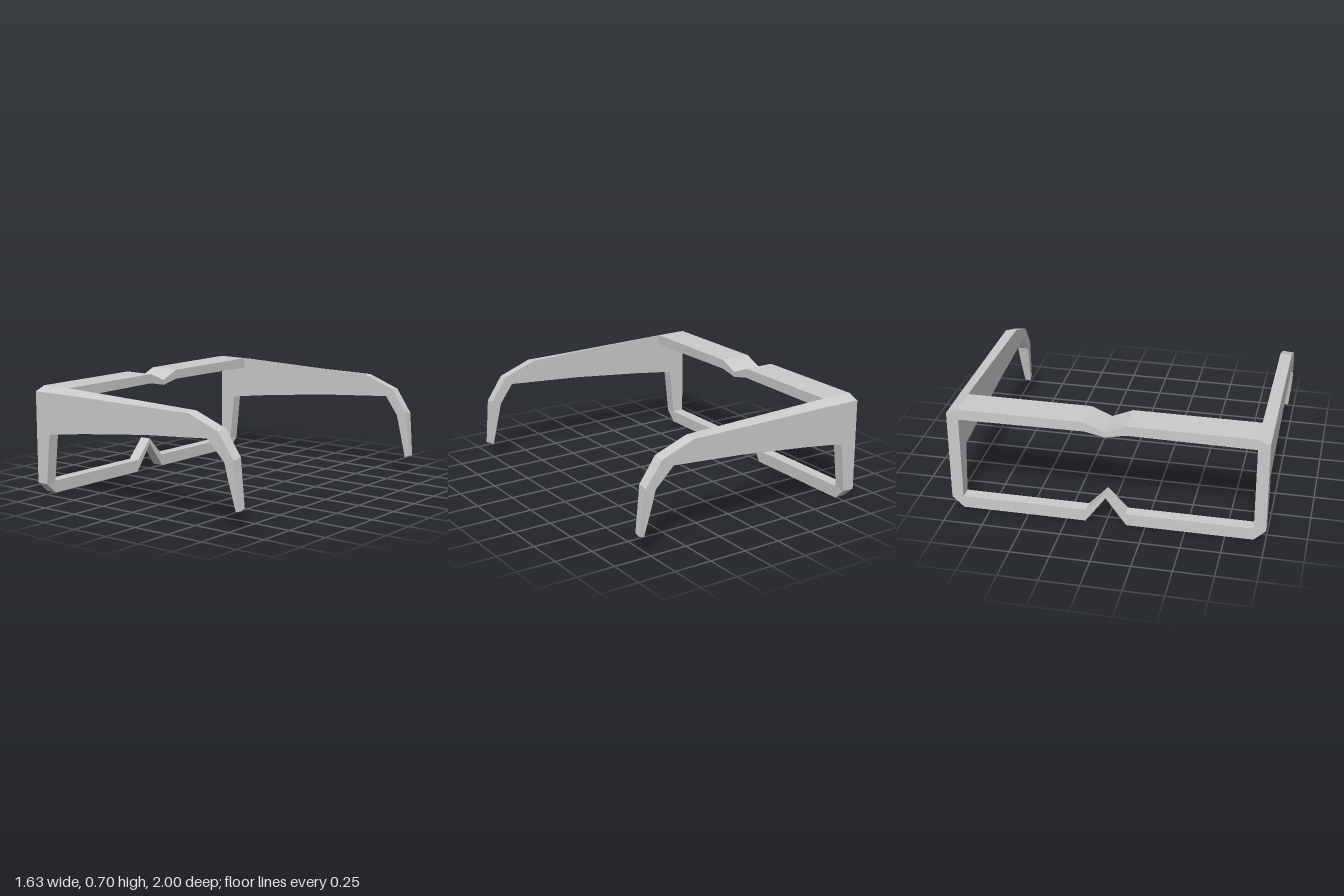
import * as THREE from 'three';

const IN = 0.925, OUT = 1, FRONT = -0.82;
const material = new THREE.MeshStandardMaterial({ color: 0xcccccc, flatShading: true });

// Skin a row of four-cornered rings; side = -1 mirrors the result across z = 0.
function loft(rings, side) {
  const pos = [];
  const quad = (a, b, c, d) => {
    const tris = side > 0 ? [a, b, c, a, c, d] : [a, c, b, a, d, c];
    for (const [x, y, z] of tris) pos.push(x, y, z * side);
  };
  for (let i = 0; i < rings.length - 1; i++) {
    for (let j = 0; j < 4; j++) {
      const k = (j + 1) % 4;
      quad(rings[i][j], rings[i][k], rings[i + 1][k], rings[i + 1][j]);
    }
  }
  quad(...rings[rings.length - 1]);
  const g = new THREE.BufferGeometry();
  g.setAttribute('position', new THREE.Float32BufferAttribute(pos, 3));
  g.computeVertexNormals();
  return g;
}

// Rim section: outer and inner points (z, y), with the depth of the back edge.
const rimRing = (zo, yo, zi, yi, back = -0.74) => [
  [FRONT, yo, zo], [back, yo, zo], [back, yi, zi], [FRONT, yi, zi],
];

// Temple section: top point (outer and inner heights) and bottom point.
const templeRing = (xt, yOuter, yInner, xb, yb, zi = IN, zo = OUT) => [
  [xt, yOuter, zo], [xb, yb, zo], [xb, yb, zi], [xt, yInner, zi],
];

export function createModel() {
  const model = new THREE.Group();
  model.name = 'eyeglasses';

  // One continuous strip: nose notch, lower rim, corner post, temple, ear hook
  const rings = [
    rimRing(0, 0.18, 0, 0.215),
    rimRing(0.13, 0, 0.125, 0.08),
    rimRing(IN, 0, IN, 0.08),
    rimRing(OUT, 0.07, IN, 0.08),
    templeRing(FRONT, 0.67, 0.7, -0.705, 0.4),
    templeRing(-0.55, 0.672, 0.7, -0.4, 0.44),
    templeRing(0.1, 0.667, 0.682, 0.1, 0.495),
    templeRing(0.45, 0.665, 0.672, 0.625, 0.535),
    templeRing(0.67, 0.583, 0.59, 0.715, 0.41),
    templeRing(0.78, 0.425, 0.435, 0.735, 0.325, 0.927, 0.996),
    templeRing(0.815, 0.13, 0.14, 0.78, 0.12, 0.935, 0.975),
  ];
  for (const side of [1, -1]) {
    const half = new THREE.Mesh(loft(rings, side), material);
    half.name = side > 0 ? 'leftRimAndTemple' : 'rightRimAndTemple';
    model.add(half);
  }

  // Deep brow bar with a shallow dip over the nose
  const profile = [
    [-IN, 0.63], [-0.13, 0.637], [0, 0.61], [0.13, 0.637], [IN, 0.63],
    [IN, 0.7], [0.13, 0.7], [0, 0.645], [-0.13, 0.7], [-IN, 0.7],
  ];
  const shape = new THREE.Shape(profile.map(([z, y]) => new THREE.Vector2(z, y)));
  const bar = new THREE.ExtrudeGeometry(shape, { depth: 0.215, bevelEnabled: false });
  bar.rotateY(Math.PI / 2).translate(FRONT, 0, 0);
  const brow = new THREE.Mesh(bar, material);
  brow.name = 'browBar';
  model.add(brow);

  return model;
}
